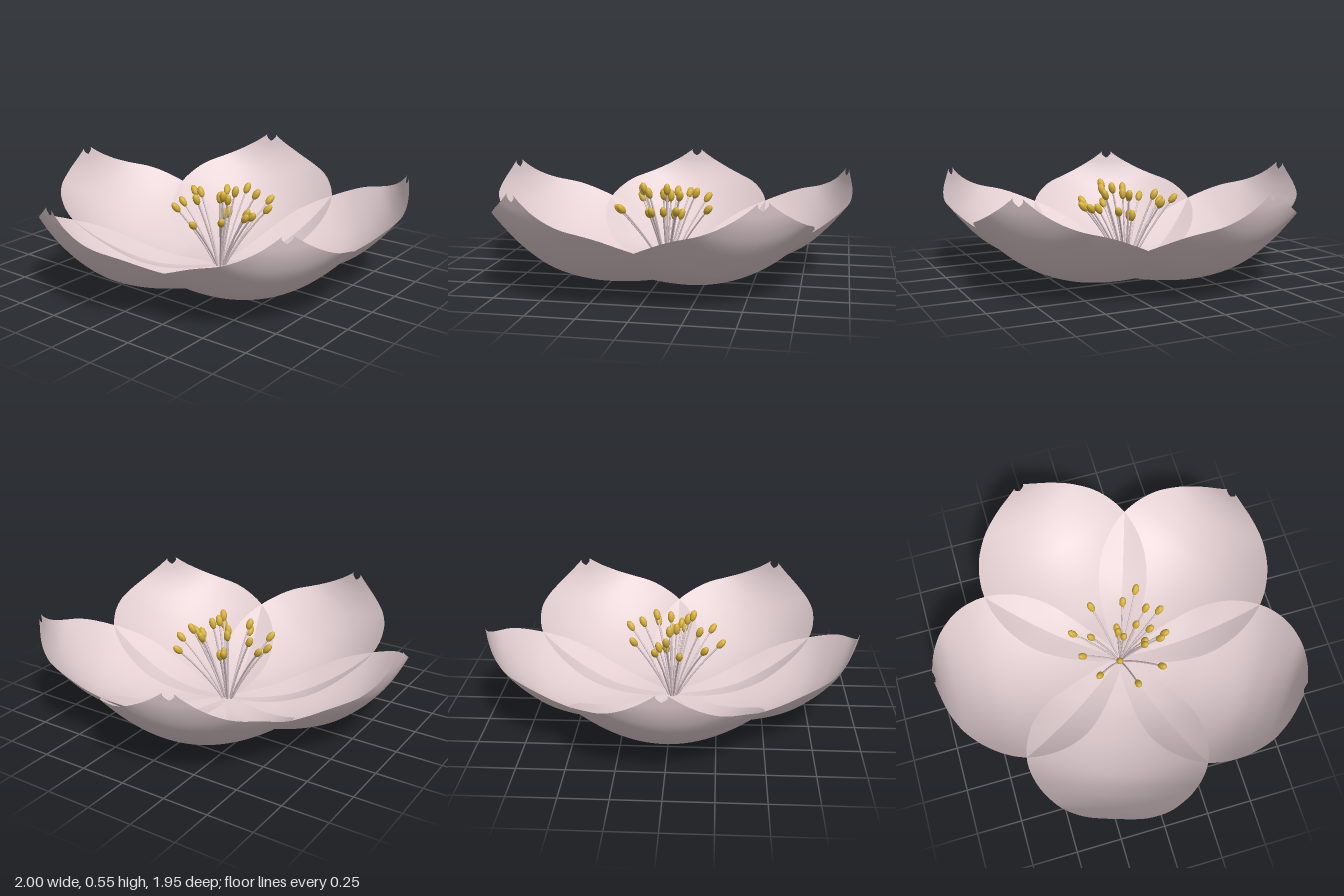
import * as THREE from 'three';

const CENTRE_Z = 0.04;

// Petal stations: distance from flower centre, half width, midline height, edge cupping
const STATIONS = [
  [0.00, 0.030, 0.030, 0.4], [0.05, 0.110, 0.027, 0.4], [0.11, 0.190, 0.021, 0.45],
  [0.20, 0.300, 0.014, 0.55], [0.31, 0.402, 0.012, 0.65], [0.43, 0.464, 0.028, 0.73],
  [0.55, 0.489, 0.055, 0.78], [0.66, 0.485, 0.094, 0.82], [0.75, 0.456, 0.140, 0.9],
  [0.83, 0.408, 0.203, 0.97], [0.89, 0.354, 0.263, 1.0], [0.945, 0.286, 0.333, 0.95],
  [0.98, 0.215, 0.398, 0.9], [1.002, 0.145, 0.458, 0.8], [1.013, 0.080, 0.510, 0.5],
  [1.020, 0.026, 0.552, 0.0],
];

// One cupped petal pointing along +z, with a small notch at the tip
function petalGeometry() {
  const rows = 60, cols = 28;
  const path = new THREE.CatmullRomCurve3(
    STATIONS.map(([r, w, y]) => new THREE.Vector3(w, y, r)), false, 'catmullrom', 0.5);
  const cup = new THREE.SplineCurve(STATIONS.map(([r, , , c]) => new THREE.Vector2(r, c)));
  const positions = [], index = [];
  for (let i = 0; i <= rows; i++) {
    for (let j = 0; j <= cols; j++) {
      const v = (j / cols) * 2 - 1;
      // middle columns stop short, leaving a V-shaped notch
      const t = (i / rows) * (1 - 0.065 * (1 - Math.abs(v)));
      const p = path.getPoint(t), x = p.x * v;
      positions.push(x, p.y + cup.getPoint(t).y * x * x, p.z);
    }
  }
  for (let i = 0; i < rows; i++) {
    for (let j = 0; j < cols; j++) {
      const a = i * (cols + 1) + j, b = a + 1, c = a + cols + 1, d = c + 1;
      index.push(a, c, b, b, c, d);
    }
  }
  const geometry = new THREE.BufferGeometry();
  geometry.setAttribute('position', new THREE.Float32BufferAttribute(positions, 3));
  geometry.setIndex(index);
  geometry.computeVertexNormals();
  return geometry;
}

// Anther positions: x, height, z
const ANTHERS = [
  [-0.045, 0.37, -0.19], [0.085, 0.40, -0.21], [-0.18, 0.38, -0.13], [0.03, 0.42, -0.12],
  [0.21, 0.40, -0.07], [-0.15, 0.44, -0.01], [-0.27, 0.34, 0.06], [-0.02, 0.43, 0.05],
  [0.02, 0.42, 0.03], [0.04, 0.32, 0.04], [0.08, 0.32, 0.04], [0.17, 0.45, 0.10],
  [-0.11, 0.475, 0.14], [-0.08, 0.45, 0.15], [0.015, 0.47, 0.13], [-0.22, 0.37, 0.21],
  [0.25, 0.38, 0.20], [0.10, 0.45, 0.21], [0.01, 0.36, 0.21], [-0.06, 0.36, 0.25],
  [-0.04, 0.37, 0.28], [0.095, 0.38, 0.29],
];

export function createModel() {
  const petalPink = new THREE.MeshStandardMaterial({ color: 0xe3cfd2, side: THREE.DoubleSide });
  petalPink.name = 'petal pink';
  const antherGold = new THREE.MeshStandardMaterial({ color: 0xd4af37 });
  antherGold.name = 'anther gold';

  const flower = new THREE.Group();
  flower.name = 'flower';

  // Five petals, the odd one at the back
  const petals = new THREE.Group();
  petals.name = 'petals';
  petals.position.z = CENTRE_Z;
  const petalShape = petalGeometry();
  for (let i = 0; i < 5; i++) {
    const petal = new THREE.Mesh(petalShape, petalPink);
    petal.name = 'petal';
    petal.rotation.y = Math.PI + (i * Math.PI * 2) / 5;
    petals.add(petal);
  }
  flower.add(petals);

  // Small flattened base below the petals
  const base = new THREE.Mesh(new THREE.SphereGeometry(0.07, 24, 12), petalPink);
  base.name = 'base';
  base.scale.y = 0.2;
  base.position.set(0, 0.014, CENTRE_Z);
  flower.add(base);

  // Stamens: curved filaments, each carrying an oval anther
  const stamens = new THREE.Group();
  stamens.name = 'stamens';
  const antherShape = new THREE.SphereGeometry(0.019, 12, 10);
  const up = new THREE.Vector3(0, 1, 0);
  for (const [x, y, z] of ANTHERS) {
    const tip = new THREE.Vector3(x, y, z);
    const dz = z - CENTRE_Z;
    const curve = new THREE.QuadraticBezierCurve3(
      new THREE.Vector3(x * 0.1, 0.025, CENTRE_Z + dz * 0.1),
      new THREE.Vector3(x * 0.45, y * 0.55, CENTRE_Z + dz * 0.45), tip);
    const filament = new THREE.Mesh(new THREE.TubeGeometry(curve, 12, 0.005, 6), petalPink);
    filament.name = 'filament';
    const anther = new THREE.Mesh(antherShape, antherGold);
    anther.name = 'anther';
    anther.scale.y = 1.75;
    anther.position.copy(tip);
    anther.quaternion.setFromUnitVectors(up, curve.getTangent(1));
    stamens.add(filament, anther);
  }
  flower.add(stamens);

  return flower;
}
